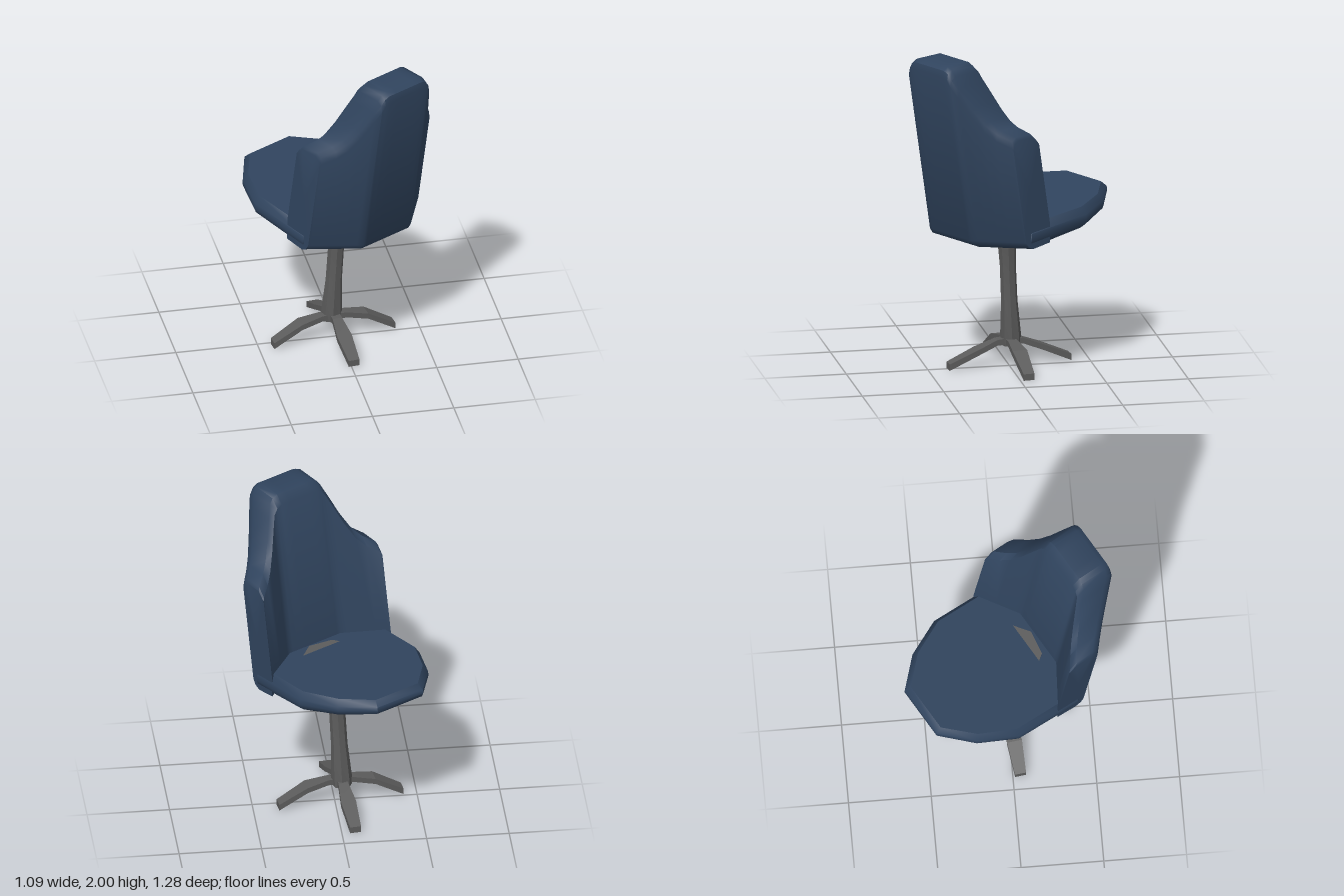
import * as THREE from 'three';
import { toCreasedNormals } from 'three/addons/utils/BufferGeometryUtils.js';

const fabric = new THREE.MeshStandardMaterial({ color: 0x30445e });
const metal = new THREE.MeshStandardMaterial({ color: 0x5c5c5c });

// Closed skin through equal-length rings of [x, y, z], with fanned end caps.
function loft(name, rings, material, crease = 0.8) {
  const n = rings[0].length;
  const centre = (ring) => [0, 1, 2].map((k) => ring.reduce((s, p) => s + p[k], 0) / n);
  const tris = [];
  const first = rings[0], last = rings[rings.length - 1];
  const c0 = centre(first), c1 = centre(last);
  for (let i = 0; i < n; i++) {
    const j = (i + 1) % n;
    tris.push([c0, first[j], first[i]], [c1, last[i], last[j]]);
    for (let r = 0; r + 1 < rings.length; r++) {
      const a = rings[r], b = rings[r + 1];
      tris.push([a[i], a[j], b[j]], [a[i], b[j], b[i]]);
    }
  }
  // Turn the faces outward whichever way the rings run.
  const v = (p) => new THREE.Vector3(...p);
  const volume = tris.reduce((s, [a, b, c]) => s + v(a).dot(v(b).cross(v(c))), 0);
  if (volume < 0) tris.forEach((t) => t.reverse());
  const geometry = new THREE.BufferGeometry();
  geometry.setAttribute('position', new THREE.Float32BufferAttribute(tris.flat(2), 3));
  const mesh = new THREE.Mesh(toCreasedNormals(geometry, crease), material);
  mesh.name = name;
  return mesh;
}

// Seat cushion: an outline stacked in bevelled layers, thinner toward its nose.
function makeSeat() {
  const half = [[0.17, -0.645], [0.34, -0.47], [0.45, -0.235], [0.45, 0.2], [0.19, 0.43]];
  const outline = [...half, ...half.map(([x, z]) => [-x, z]).reverse()];
  const bottom = (z) => 0.852 + Math.max(0, 0.1 - z) * 0.16;
  const top = (z) => 1.017 - 0.088 * z;
  // Each layer: inset scale, fraction of the thickness
  const layers = [[0.91, 0], [0.985, 0.2], [1, 0.4], [0.995, 0.65], [0.93, 1]];
  const rings = layers.map(([s, t]) => outline.map(([x, z]) => {
    const px = x * s, pz = -0.1 + (z + 0.1) * s;
    return [px, THREE.MathUtils.lerp(bottom(pz), top(pz), t), pz];
  }));
  return loft('seat', rings, fabric);
}

// Wrapped backrest: a leaning cross-section swept from side to side.
function makeBackrest() {
  const rim = [[0.07, 2], [0.13, 2], [0.165, 1.985], [0.19, 1.95], [0.22, 1.88],
    [0.27, 1.76], [0.32, 1.665], [0.37, 1.61], [0.435, 1.57], [0.445, 1.55]];
  const columns = [...rim.map(([x, h]) => [-x, h]).reverse(), ...rim];
  const rings = columns.map(([x, h]) => {
    const wrap = Math.max(0, Math.abs(x) - 0.19) / 0.255;
    const outer = 0.45 - 0.215 * wrap;
    const inner = 0.195 - 0.165 * wrap;
    const at = (z, y) => [x, y, z + 0.17 * (y - 0.87)];
    return [
      at(inner + 0.02, 0.87), at(inner, 1), at(inner, h - 0.05), at(inner + 0.04, h),
      at(outer - 0.05, h), at(outer - 0.015, h - 0.02), at(outer, h - 0.06),
      at(outer, 0.9), at(outer - 0.015, 0.868), at(outer - 0.05, 0.852),
    ];
  });
  return loft('backrest', rings, fabric);
}

// Round section with flat sides
function polygon(x, y, z, radius, sides = 8) {
  return Array.from({ length: sides }, (_, i) => {
    const a = ((i + 0.05) / sides) * Math.PI * 2;
    return [x + radius * Math.cos(a), y, z + radius * Math.sin(a)];
  });
}

// Leg: a flat bar that widens at its bend and drops to the floor.
function makeLeg(bendHeight) {
  const stations = [[0, 0.17, 0.13, 0.03], [0.08, 0.165, 0.13, 0.03],
    [0.21, bendHeight, bendHeight - 0.035, 0.046], [0.385, 0.04, 0, 0.034]];
  const rings = stations.map(([z, top, low, w]) =>
    [[-w, low, z], [w, low, z], [w, top, z], [-w, top, z]]);
  return loft('leg', rings, metal, 0.3);
}

export function createModel() {
  const model = new THREE.Group();
  model.name = 'swivelChair';

  // Upholstered part, swivelled on the base
  const upper = new THREE.Group();
  upper.name = 'upholstery';
  const seat = makeSeat(), backrest = makeBackrest();
  seat.position.x = backrest.position.x = -0.015;
  upper.add(seat, backrest);
  upper.rotation.y = Math.PI / 6;
  model.add(upper);

  // Mounting hub under and through the seat
  model.add(loft('hub', [[0.83, 0.15], [0.86, 0.2], [1.005, 0.2]]
    .map(([y, r]) => polygon(0, y, 0.01, r)), metal, 0.3));

  // Slightly leaning column, flared at both ends
  const stem = [[0.12, 0.06], [0.18, 0.064], [0.4, 0.05], [0.62, 0.049], [0.74, 0.055], [0.85, 0.064]];
  model.add(loft('column', stem.map(([y, r]) => {
    const t = (y - 0.12) / 0.73;
    return polygon(-0.042 + 0.037 * t, y, -0.018 + 0.035 * t, r);
  }), metal, 0.3));

  // Four-legged foot
  const foot = new THREE.Group();
  foot.name = 'foot';
  for (let i = 0; i < 4; i++) {
    const leg = makeLeg(i % 2 ? 0.14 : 0.115);
    leg.rotation.y = 0.13 + i * Math.PI / 2;
    foot.add(leg);
  }
  foot.position.set(-0.033, 0, -0.003);
  model.add(foot);

  return model;
}
